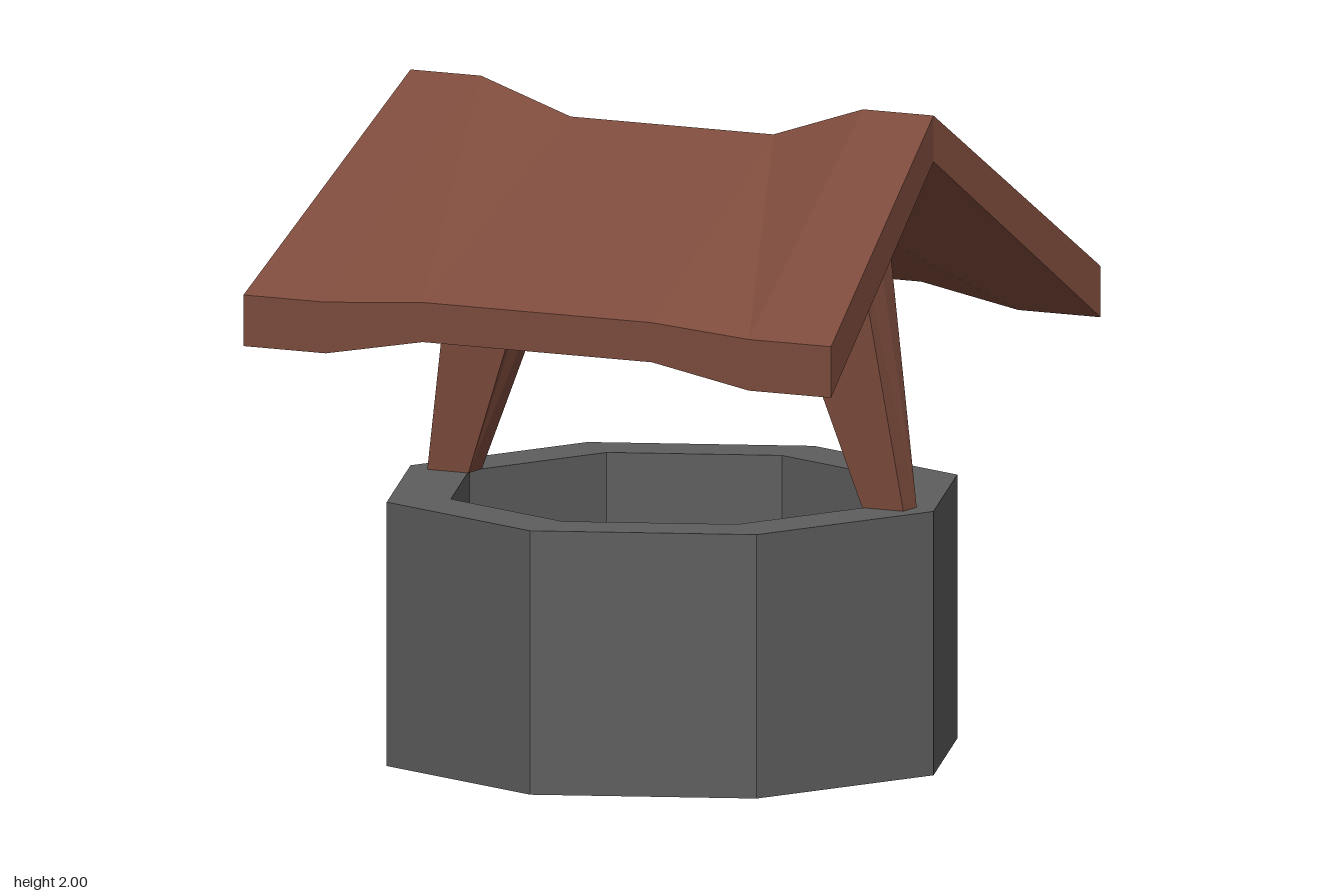
import * as THREE from 'three';

const wood = new THREE.MeshStandardMaterial({ color: 0x7d4b3c, flatShading: true });
const stone = new THREE.MeshStandardMaterial({ color: 0x5e5e5e, flatShading: true });

// Closed solid through matching rings of [x, y, z] points, running towards +x
function loft(rings) {
  const n = rings[0].length, last = rings.length - 1, pos = [];
  const tri = (a, b, c) => pos.push(...a, ...b, ...c);
  for (let i = 0; i < last; i++) {
    for (let j = 0; j < n; j++) {
      const k = (j + 1) % n;
      tri(rings[i][j], rings[i][k], rings[i + 1][k]);
      tri(rings[i][j], rings[i + 1][k], rings[i + 1][j]);
    }
  }
  for (let j = 1; j < n - 1; j++) {
    tri(rings[0][0], rings[0][j + 1], rings[0][j]);
    tri(rings[last][0], rings[last][j], rings[last][j + 1]);
  }
  const geo = new THREE.BufferGeometry();
  geo.setAttribute('position', new THREE.Float32BufferAttribute(pos, 3));
  geo.computeVertexNormals();
  return geo;
}

function addMesh(parent, name, geometry, material) {
  const mesh = new THREE.Mesh(geometry, material);
  mesh.name = name;
  parent.add(mesh);
  return mesh;
}

export function createModel() {
  const model = new THREE.Group();
  model.name = 'well';

  // Octagonal stone basin with a hollow inside
  const profile = [[0, 0], [0.89, 0], [0.89, 0.8], [0.69, 0.8], [0.69, 0.1], [0, 0.1]]
    .map(([r, y]) => new THREE.Vector2(r, y));
  addMesh(model, 'basin', new THREE.LatheGeometry(profile, 8), stone);

  // Gabled roof, sagging in the middle: chevron sections along x
  const depth = 0.845;
  const section = (ridgeX, eaveX, ridgeTop, ridgeBottom, eaveTop, eaveBottom) => [
    [ridgeX, ridgeBottom, 0],
    [eaveX, eaveBottom, -depth],
    [eaveX, eaveTop, -depth],
    [ridgeX, ridgeTop, 0],
    [eaveX, eaveTop, depth],
    [eaveX, eaveBottom, depth],
  ];
  const high = [2.0, 1.86, 1.43, 1.275];
  const low = [1.9, 1.76, 1.455, 1.335];
  addMesh(model, 'roof', loft([
    section(-0.89, -1, ...high),
    section(-0.65, -0.72, ...high),
    section(-0.345, -0.39, ...low),
    section(0.345, 0.39, ...low),
    section(0.65, 0.72, ...high),
    section(0.89, 1, ...high),
  ]), wood);

  // Posts flare towards the top, where they follow the gable
  const postSide = (bottomX, topX, topY) => [
    [bottomX, 0.8, -0.042],
    [topX, topY - 0.075, -0.112],
    [topX, topY, 0],
    [topX, topY - 0.075, 0.112],
    [bottomX, 0.8, 0.042],
  ];
  const postGeometry = loft([postSide(0.67, 0.34, 1.78), postSide(0.81, 0.655, 1.87)]);
  addMesh(model, 'leftPost', postGeometry, wood);
  addMesh(model, 'rightPost', postGeometry, wood).rotation.y = Math.PI;

  return model;
}
